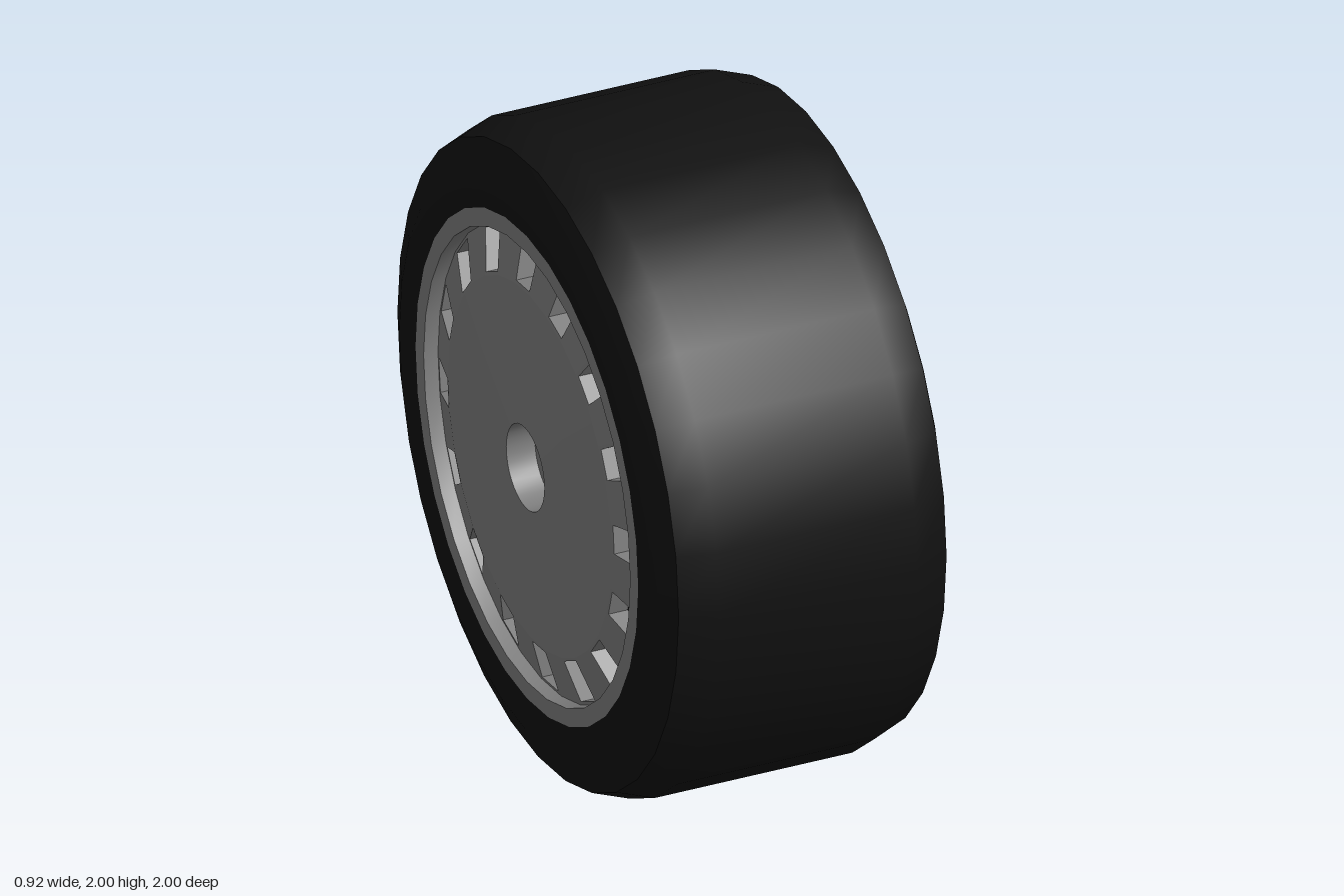
import * as THREE from 'three';
import { toCreasedNormals } from 'three/addons/utils/BufferGeometryUtils.js';

const SIDES = 32;
const rubber = new THREE.MeshStandardMaterial({ color: 0x111111 });
const metal = new THREE.MeshStandardMaterial({ color: 0x808080 });

// Surface of revolution around the x axis, from [radius, x] points
function turned(name, profile, material) {
  const points = profile.map(([r, x]) => new THREE.Vector2(r, x));
  const geometry = new THREE.LatheGeometry(points, SIDES).rotateZ(-Math.PI / 2);
  const mesh = new THREE.Mesh(toCreasedNormals(geometry, 0.5), material);
  mesh.name = name;
  return mesh;
}

// Mesh from a list of four-cornered faces
function quadMesh(name, quads, material) {
  const positions = quads.flatMap(([a, b, c, d]) => [a, b, c, a, c, d]);
  const geometry = new THREE.BufferGeometry().setFromPoints(positions);
  geometry.computeVertexNormals();
  const mesh = new THREE.Mesh(geometry, material);
  mesh.name = name;
  return mesh;
}

// Sloping band around the disc; every other segment has an inset vent pocket
const BAND = { rIn: 0.56, xIn: 0.445, rOut: 0.705, xOut: 0.41 };
const VENT_DEPTH = 0.06;

function bandPoint(i, u, v, depth = 0) {
  const r = THREE.MathUtils.lerp(BAND.rIn, BAND.rOut, v);
  const x = THREE.MathUtils.lerp(BAND.xIn, BAND.xOut, v) - depth;
  const at = (k) => {
    const a = (k / SIDES) * Math.PI * 2;
    return new THREE.Vector3(x, r * Math.cos(a), r * Math.sin(a));
  };
  return at(i).lerp(at(i + 1), u);
}

function ventBand() {
  const faces = [], floors = [];
  const loop = (i, u0, u1, v0, v1, depth) =>
    [[u0, v0], [u0, v1], [u1, v1], [u1, v0]].map(([u, v]) => bandPoint(i, u, v, depth));
  for (let i = 0; i < SIDES; i++) {
    const outer = loop(i, 0, 1, 0, 1, 0);
    if (i % 2) {
      faces.push(outer);
      continue;
    }
    const edge = loop(i, 0.09, 0.9, 0.07, 0.93, 0);
    const floor = loop(i, 0.09, 0.9, 0.07, 0.93, VENT_DEPTH);
    for (let k = 0; k < 4; k++) {
      const n = (k + 1) % 4;
      faces.push([outer[k], outer[n], edge[n], edge[k]]);
      faces.push([edge[k], edge[n], floor[n], floor[k]]);
    }
    floors.push(floor);
  }
  const band = new THREE.Group();
  band.name = 'ventBand';
  band.add(quadMesh('ventFrames', faces, metal), quadMesh('ventFloors', floors, rubber));
  return band;
}

// One side of the wheel, facing +x
function wheelFace(name) {
  const face = new THREE.Group();
  face.name = name;
  face.add(
    turned('rimLip', [[0.76, 0.455], [0.705, 0.455], [0.705, 0.41]], metal),
    ventBand(),
    turned('discAndHubRecess', [[0.56, 0.445], [0.13, 0.46], [0.13, 0.37], [0, 0.37]], metal)
  );
  return face;
}

export function createModel() {
  const wheel = new THREE.Group();
  wheel.name = 'wheel';

  // Tyre with bevelled shoulders
  const half = [[1, 0.31], [0.96, 0.42], [0.86, 0.46], [0.76, 0.455]];
  const mirrored = half.map(([r, x]) => [r, -x]).reverse();
  wheel.add(turned('tyre', [...mirrored, ...half], rubber));

  // Matching faces on both sides
  const left = wheelFace('leftFace');
  const right = wheelFace('rightFace');
  right.rotation.y = Math.PI;
  wheel.add(left, right);

  wheel.position.y = 1;
  const model = new THREE.Group();
  model.add(wheel);
  return model;
}
